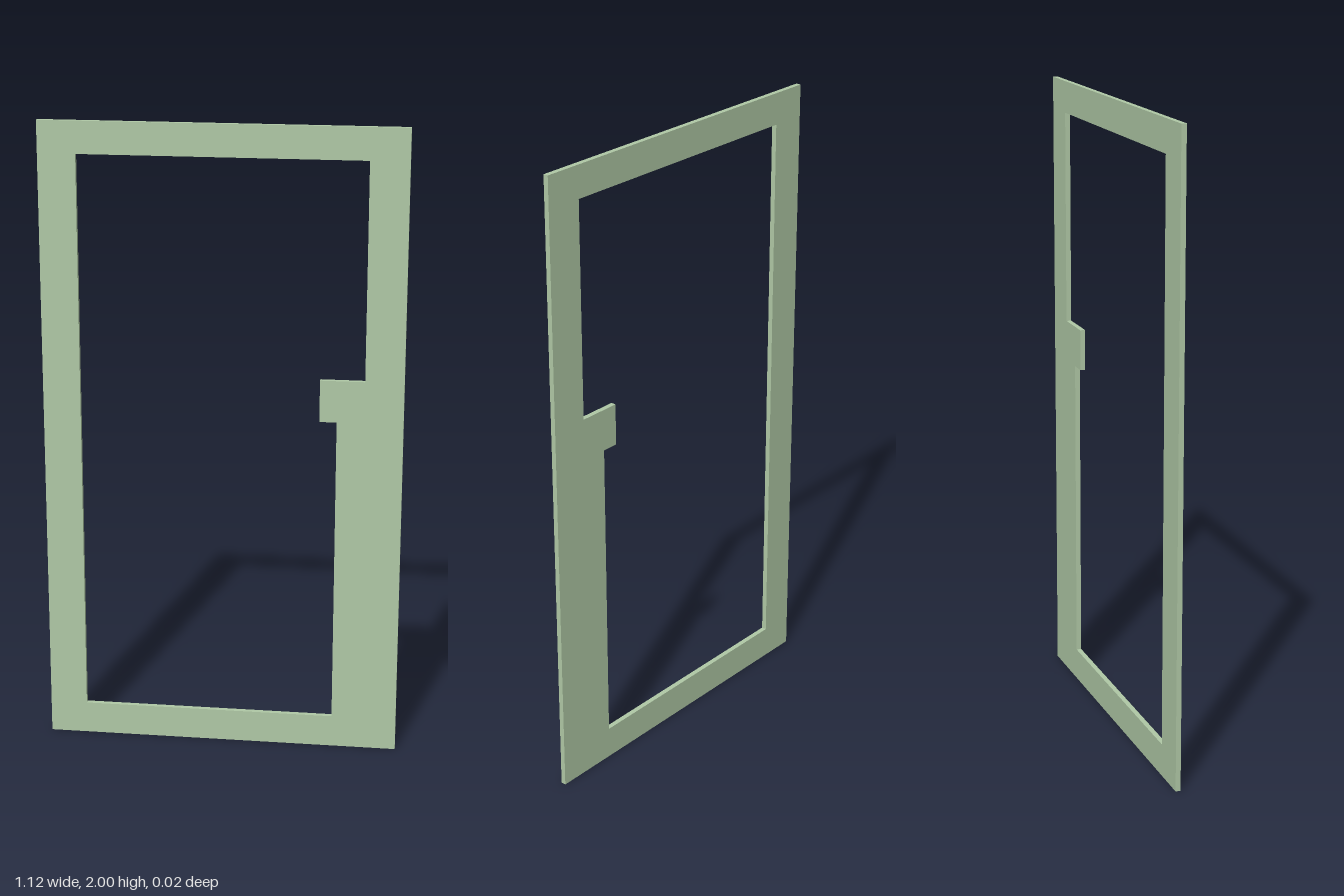
import * as THREE from 'three';

const WIDTH = 1.12, HEIGHT = 2, DEPTH = 0.016;

export function createModel() {
  const group = new THREE.Group();
  group.name = 'doorFrame';

  // Outer outline of the flat panel
  const w = WIDTH / 2;
  const outline = new THREE.Shape([[-w, 0], [w, 0], [w, HEIGHT], [-w, HEIGHT]].map(p => new THREE.Vector2(...p)));

  // Opening, with a wider lower stile and a latch tab on one side
  const opening = [
    [-0.443, 0.103], [-0.443, 1.9], [0.44, 1.9], [0.44, 1.222],
    [0.302, 1.222], [0.302, 1.09], [0.355, 1.09], [0.355, 0.103],
  ];
  outline.holes.push(new THREE.Path(opening.map(p => new THREE.Vector2(...p))));

  const geometry = new THREE.ExtrudeGeometry(outline, { depth: DEPTH, bevelEnabled: false });
  geometry.translate(0, 0, -DEPTH / 2);

  const frame = new THREE.Mesh(geometry, new THREE.MeshStandardMaterial({ color: 0xb0c9a6 }));
  frame.name = 'framePanel';
  group.add(frame);
  return group;
}
